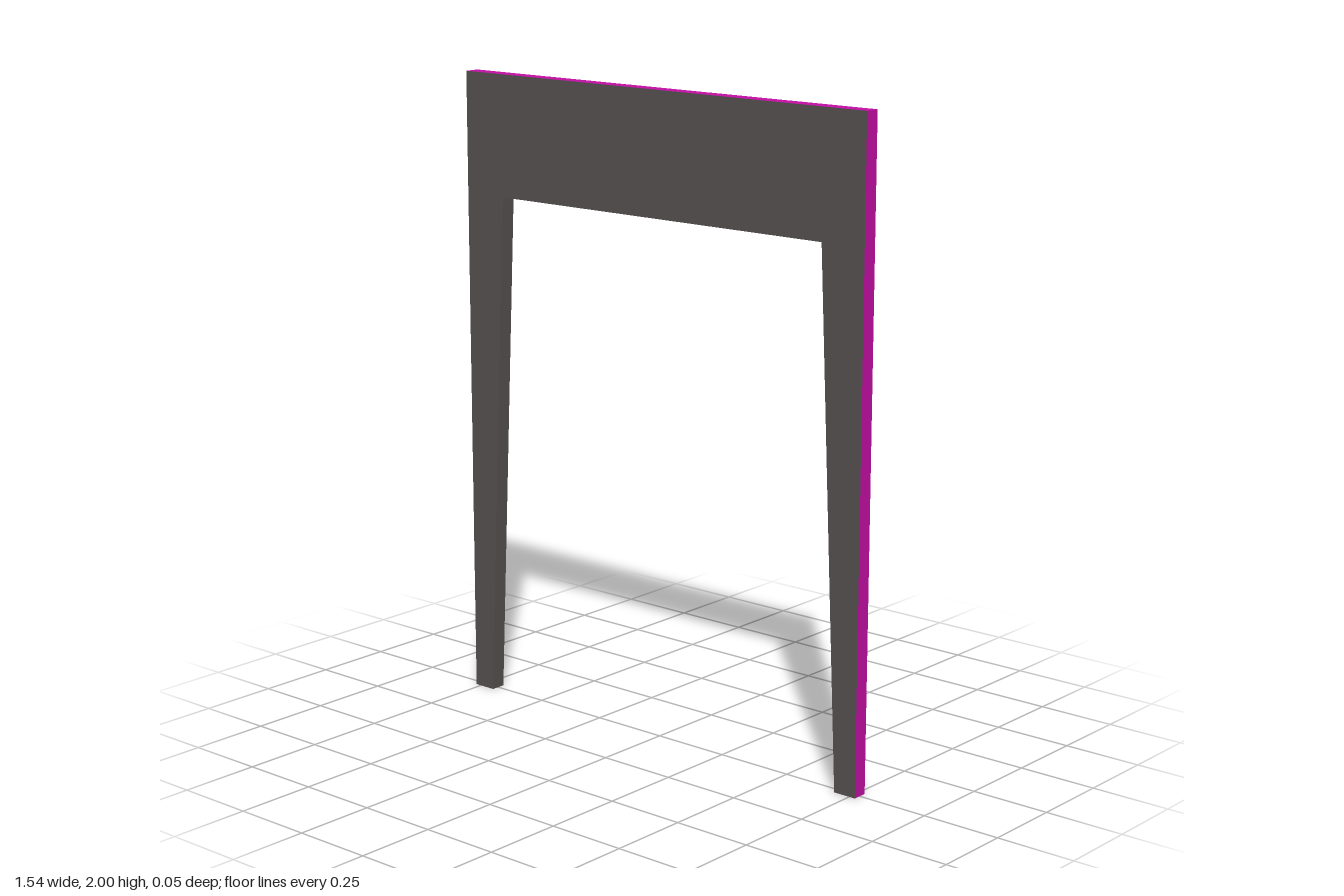
import * as THREE from 'three';

const W = 0.77, H = 2, BEAM = 1.62, D = 0.024;
const innerX = (y) => 0.695 - (0.075 * y) / BEAM; // tapering inner edge of a leg

const mat = (name, color) => {
  const m = new THREE.MeshStandardMaterial({ color });
  m.name = name;
  return m;
};
const shapeOf = (pts) => new THREE.Shape(pts.map(([x, y]) => new THREE.Vector2(x, y)));

export function createModel() {
  const dark = mat('darkGrey', 0x575251);
  const light = mat('lightGrey', 0xcdcdcd);
  const magenta = mat('magenta', 0xc40fa5);
  const teal = mat('teal', 0x4ab8b6);
  const model = new THREE.Group();
  model.name = 'archFrame';

  // Arch with two tapered legs, extruded through its thickness
  const half = [[innerX(BEAM), BEAM], [innerX(0), 0], [W, 0], [W, H]];
  const outline = [...half, ...half.map(([x, y]) => [-x, y]).reverse()];
  const geo = new THREE.ExtrudeGeometry(shapeOf(outline), { depth: 2 * D, bevelEnabled: false });
  geo.translate(0, 0, -D);

  // Face colours: dark front and edges, light back, magenta outer sides
  const pos = geo.attributes.position, nor = geo.attributes.normal;
  geo.clearGroups();
  for (let i = 0; i < pos.count; i += 3) {
    const outer = [0, 1, 2].every((k) => Math.abs(pos.getX(i + k)) > W - 0.001);
    geo.addGroup(i, 3, outer ? 2 : nor.getZ(i) < -0.5 ? 1 : 0);
  }
  const frame = new THREE.Mesh(geo, [dark, light, magenta]);
  frame.name = 'frame';
  model.add(frame);

  // Two teal bands on the back of each leg
  for (const side of [-1, 1]) {
    for (const [y0, y1] of [[0.26, 0.345], [0.455, 0.65]]) {
      const pts = [[innerX(y0), y0], [W, y0], [W, y1], [innerX(y1), y1]];
      const band = new THREE.Mesh(new THREE.ShapeGeometry(shapeOf(pts.map(([x, y]) => [-side * x, y]))), teal);
      band.rotation.y = Math.PI; // face the back
      band.position.z = -D - 0.001;
      band.name = side > 0 ? 'leftLegBand' : 'rightLegBand';
      model.add(band);
    }
  }
  return model;
}
